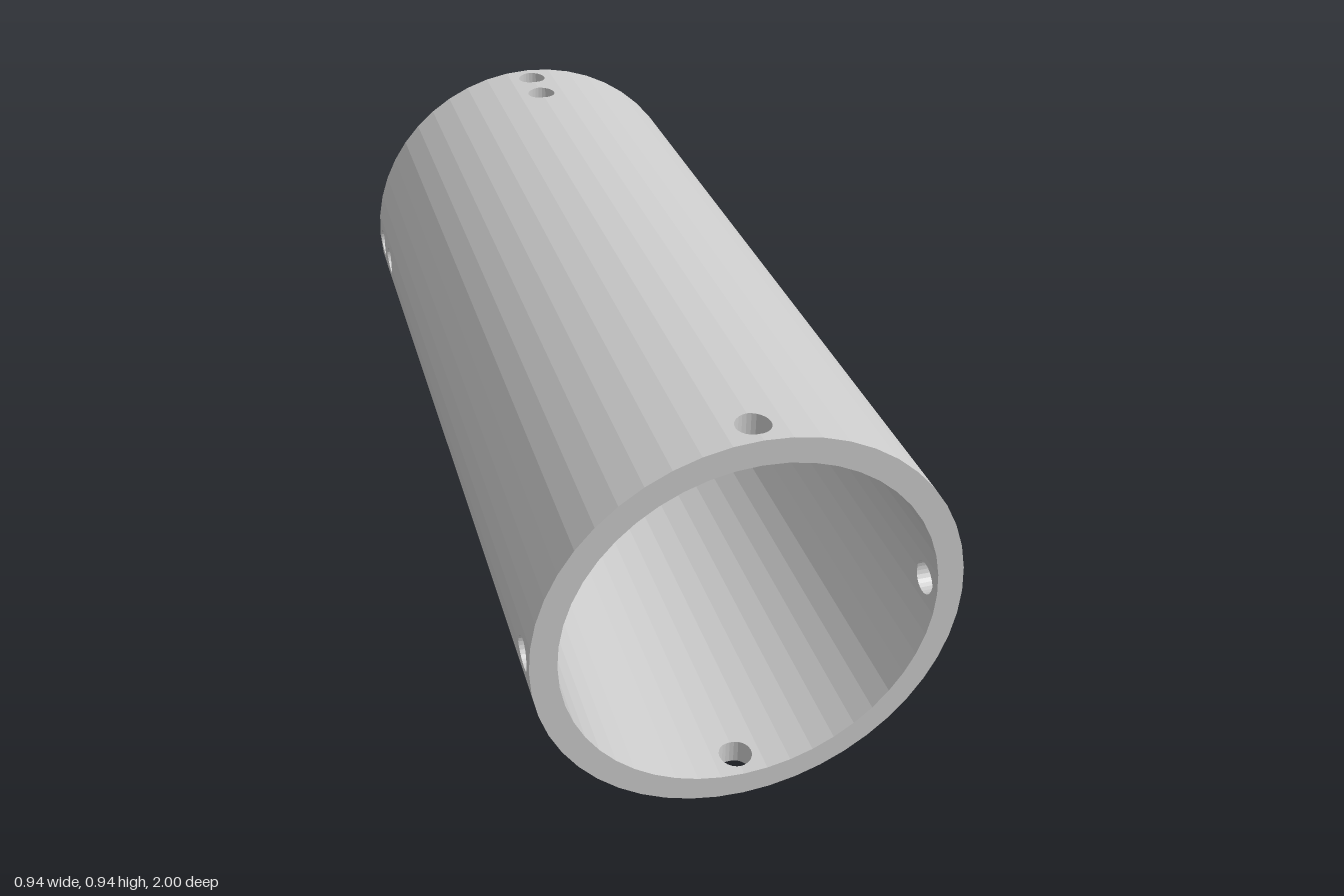
import * as THREE from 'three';
import { mergeGeometries } from 'three/addons/utils/BufferGeometryUtils.js';

const OUTER = 0.47, INNER = 0.412, HOLE = 0.037;
const STEP = Math.PI / 24; // 48 flat facets
// lengthwise cells [start, end, hole centre], measured from front (-1) to back (+1)
const CELLS = [[-1, -0.88, -0.94], [-0.88, 0.76, null], [0.76, 0.88, 0.82], [0.88, 1, 0.94]];

// one cell of one wall facet beside a ridge at the top; half a hole is cut along the ridge
function facetCell(side, [v0, v1, centre], drilled) {
  const w = OUTER * Math.sin(STEP);
  const pts = [[0, v0]];
  if (drilled && centre !== null) {
    for (let i = 0; i <= 12; i++) {
      const a = -Math.PI / 2 + (Math.PI * i) / 12;
      pts.push([side * HOLE * Math.cos(a), centre + HOLE * Math.sin(a)]);
    }
  }
  pts.push([0, v1], [side * w, v1], [side * w, v0]);
  const shape = new THREE.Shape(pts.map(([s, v]) => new THREE.Vector2(s, v)));
  const slab = new THREE.ExtrudeGeometry(shape, { depth: 1, bevelEnabled: false });
  const source = slab.index ? slab.toNonIndexed() : slab;
  const p = source.attributes.position;
  const near = (a, b) => Math.abs(a - b) < 1e-5;
  const out = [];
  for (let i = 0; i < p.count; i += 3) {
    const tri = [0, 1, 2].map((k) => [p.getX(i + k), p.getY(i + k), p.getZ(i + k)]);
    // leave out the seams between neighbouring cells
    const seam = tri.every((t) => near(t[0], 0)) || tri.every((t) => near(Math.abs(t[0]), w)) ||
      [v0, v1].some((v) => Math.abs(v) < 1 && tri.every((t) => near(t[1], v)));
    if (seam) continue;
    for (const [s, v, d] of tri) {
      const r = d > 0.5 ? OUTER : INNER;
      const x = near(Math.abs(s), w) ? side * r * Math.sin(STEP) : s;
      out.push(x, r - Math.abs(x) * Math.tan(STEP / 2), -v);
    }
  }
  const g = new THREE.BufferGeometry();
  g.setAttribute('position', new THREE.Float32BufferAttribute(out, 3));
  return g;
}

// full-length pair of facets meeting at a ridge
function facetPair(drilled) {
  return mergeGeometries([-1, 1].flatMap((side) => CELLS.map((c) => facetCell(side, c, drilled))));
}

export function createModel() {
  const group = new THREE.Group();
  group.name = 'drilledTube';
  const plain = facetPair(false), drilled = facetPair(true);

  // turn the pairs around the axis, drilled ones at every quarter
  const parts = [];
  for (let j = 0; j < 24; j++) {
    parts.push((j % 6 === 0 ? drilled : plain).clone().rotateZ(j * STEP * 2));
  }
  const geometry = mergeGeometries(parts);
  geometry.computeVertexNormals();
  const tube = new THREE.Mesh(geometry, new THREE.MeshStandardMaterial({ color: 0xcccccc, flatShading: true }));
  tube.name = 'tubeWall';
  tube.position.y = OUTER;
  group.add(tube);
  return group;
}
